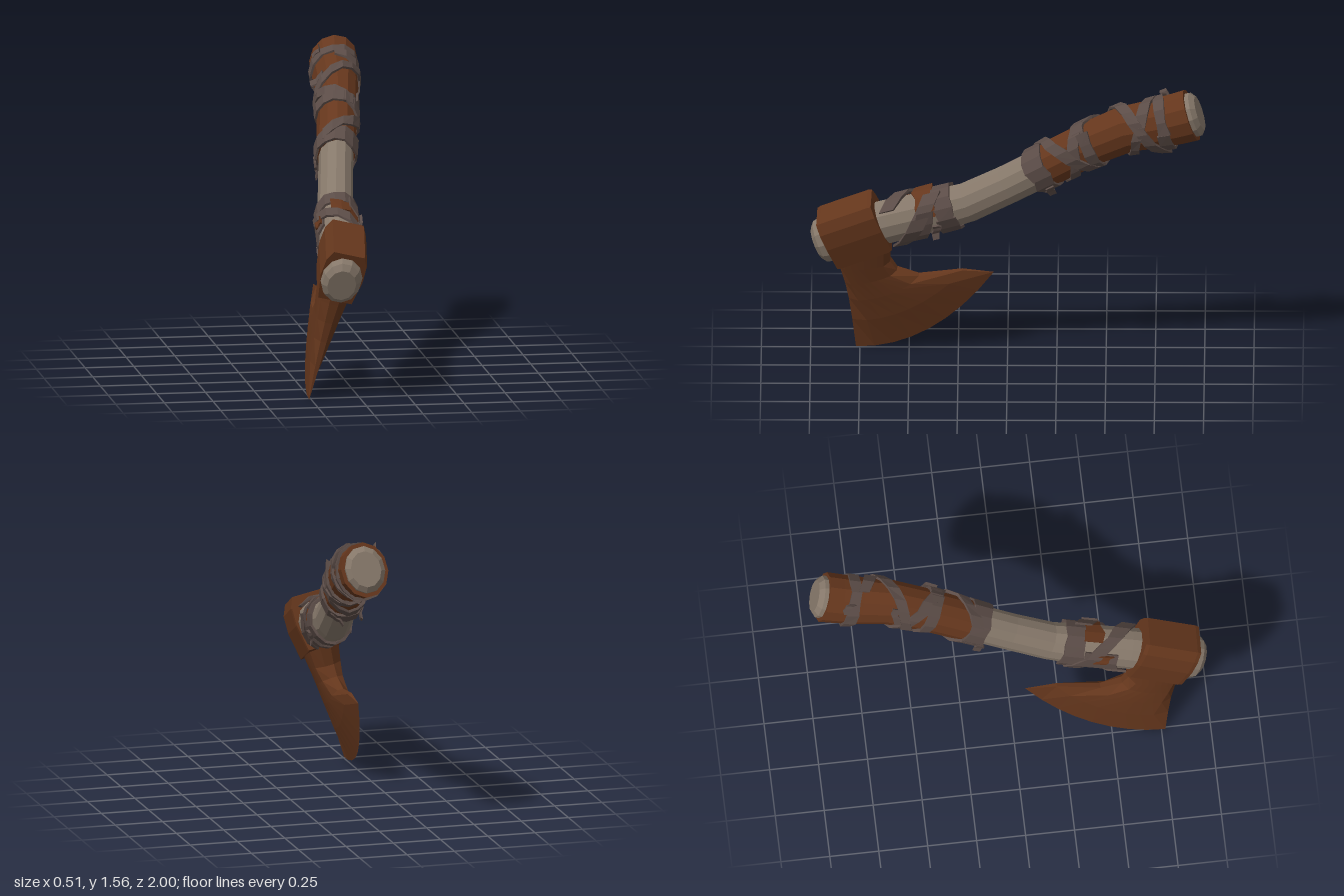
import * as THREE from 'three';

// Handle centre line and radius, from the head end to the grip end: z, y, radius
const SPINE = [
  [0.93, 0.635, 0.112], [0.75, 0.71, 0.112], [0.6, 0.757, 0.11], [0.3, 0.845, 0.105],
  [0.2, 0.878, 0.1], [0, 0.988, 0.097], [-0.2, 1.108, 0.098], [-0.4, 1.232, 0.1],
  [-0.6, 1.332, 0.107], [-0.8, 1.378, 0.117], [-0.95, 1.428, 0.122],
];

// The whole axe is authored upright in the y-z plane, then leaned over sideways
const LEAN = new THREE.Matrix4().set(
  0.974, 0.232, -0.036, -0.232,
  -0.226, 1, 0, 0,
  0.035, 0, 1, 0,
  0, 0, 0, 1);

let seed = 7;
const rand = () => (seed = (seed * 16807) % 2147483647) / 2147483647;

function spineAt(z) {
  let i = 0;
  while (i < SPINE.length - 2 && z < SPINE[i + 1][0]) i++;
  const [a, b] = [SPINE[i], SPINE[i + 1]];
  const t = (z - a[0]) / (b[0] - a[0]);
  return { y: a[1] + (b[1] - a[1]) * t, r: a[2] + (b[2] - a[2]) * t };
}

// Point around the handle at angle a, "extra" above its surface
function around(z, a, extra = 0, scale = 1) {
  const { y, r } = spineAt(z);
  const slope = (spineAt(z - 0.06).y - spineAt(z + 0.06).y) / 0.12;
  const len = Math.hypot(1, slope);
  const up = Math.sin(a) * (r * 1.06 * scale + extra);
  return new THREE.Vector3(Math.cos(a) * (r * 0.9 * scale + extra), y + up / len, z + up * slope / len);
}

// Faceted skin through closed cross-sections, capped at both ends
function loft(rings) {
  const pos = [];
  const tri = (...p) => p.forEach((v) => pos.push(v.x, v.y, v.z));
  const n = rings[0].length;
  for (let i = 0; i < rings.length - 1; i++) {
    for (let j = 0; j < n; j++) {
      const k = (j + 1) % n, [p, q] = [rings[i], rings[i + 1]];
      tri(p[j], q[j], q[k]);
      tri(p[j], q[k], p[k]);
    }
  }
  [rings[0], rings[rings.length - 1]].forEach((ring, end) => {
    const c = ring.reduce((s, v) => s.add(v), new THREE.Vector3()).divideScalar(n);
    for (let j = 0; j < n; j++) {
      const k = (j + 1) % n;
      if (end) tri(c, ring[k], ring[j]);
      else tri(c, ring[j], ring[k]);
    }
  });
  const g = new THREE.BufferGeometry();
  g.setAttribute('position', new THREE.Float32BufferAttribute(pos, 3));
  g.applyMatrix4(LEAN);
  g.computeVertexNormals();
  return g;
}

const circle = (z, sides, extra, scale) =>
  Array.from({ length: sides }, (_, j) => around(z, ((j + 0.5) / sides) * Math.PI * 2, extra, scale));

// Worn strip wound from z0 to z1 and from a0 to a1 (in turns)
function strap(z0, z1, a0, a1, width, lift, flare = 0) {
  const steps = Math.max(4, Math.round(Math.abs(a1 - a0) * 13));
  const rings = [];
  for (let i = 0; i <= steps; i++) {
    const t = i / steps;
    const a = (a0 + (a1 - a0) * t) * Math.PI * 2;
    const z = z0 + (z1 - z0) * t;
    const w = (width / 2) * (0.85 + rand() * 0.3);
    const out = lift + rand() * 0.005 + (i === steps ? flare : 0);
    const skew = (rand() - 0.5) * 0.015;
    rings.push([
      around(z + w + skew, a, out), around(z - w + skew, a, out + rand() * 0.005),
      around(z - w + skew, a, out - 0.012), around(z + w + skew, a, out - 0.012),
    ]);
  }
  return loft(rings);
}

export function createModel() {
  const axe = new THREE.Group();
  axe.name = 'axe';
  const material = (name, color, side = THREE.FrontSide) => {
    const m = new THREE.MeshStandardMaterial({ color, side });
    m.name = name;
    return m;
  };
  const wood = material('weathered wood', 0x86786a);
  const iron = material('rusty iron', 0x64361c);
  const leather = material('brown leather', 0x66371d, THREE.DoubleSide);
  const cloth = material('grey brown strap', 0x5b4c47, THREE.DoubleSide);
  const add = (name, geometry, mat) => {
    const mesh = new THREE.Mesh(geometry, mat);
    mesh.name = name;
    axe.add(mesh);
  };

  // Handle with rounded-off ends
  add('handle', loft([
    circle(0.967, 12, 0, 0.72), circle(0.945, 12, 0, 0.97), circle(0.915, 12, 0, 1.04),
    ...SPINE.slice(1, -1).map(([z]) => circle(z, 12, 0, 1)),
    circle(-0.955, 12, 0, 0.92), circle(-0.977, 12, 0, 0.7),
  ]), wood);

  // Leather grip sleeve
  add('gripSleeve', loft([-0.15, -0.3, -0.45, -0.6, -0.75, -0.86, -0.935].map((z) => circle(z, 12, 0.011, 1))), leather);

  // Socket: a block with bevelled shoulders, set along the handle
  const section = [[0.113, 0], [0.11, 0.09], [0.085, 0.145], [-0.08, 0.145],
    [-0.106, 0.09], [-0.113, 0], [-0.09, -0.14], [0.09, -0.14]];
  add('headSocket', loft([-0.15, -0.13, 0.13, 0.15].map((s) => section.map(([x, h]) => {
    const k = Math.abs(s) > 0.14 ? 0.97 : 1;
    return new THREE.Vector3(x * k, 0.705 + 0.922 * h * k + 0.387 * s, 0.775 + 0.387 * h * k - 0.922 * s);
  }))), iron);

  // Blade rows from socket to cutting edge: front z, y, back z, y, bulge z, y, half thickness
  const rows = [
    [0.88, 0.59, 0.59, 0.66, 0, 0, 0.095],
    [0.853, 0.5, 0.595, 0.53, 0, 0, 0.078],
    [0.825, 0.4, 0.56, 0.475, 0, -0.01, 0.063],
    [0.805, 0.3, 0.45, 0.438, -0.01, -0.03, 0.051],
    [0.788, 0.17, 0.23, 0.472, -0.01, -0.07, 0.034],
    [0.77, 0, 0.07, 0.46, -0.02, -0.115, 0.003],
  ];
  const cols = 8;
  add('blade', loft(rows.map(([fz, fy, bz, by, dz, dy, thick]) => {
    const at = (t, side) => {
      const bow = 4 * t * (1 - t);
      const edge = t === 0 || t === 1 ? 0.3 : 0.75 + 0.25 * bow;
      return new THREE.Vector3(side * thick * edge, fy + (by - fy) * t + dy * bow, fz + (bz - fz) * t + dz * bow);
    };
    const ring = [];
    for (let i = 0; i <= cols; i++) ring.push(at(i / cols, 1));
    for (let i = cols; i >= 0; i--) ring.push(at(i / cols, -1));
    return ring;
  })), iron);

  // Straps just behind the head
  add('headCuff', strap(0.31, 0.31, 0, 1, 0.09, 0.013), cloth);
  add('headSideWrap', strap(0.45, 0.45, 0.42, 0.72, 0.17, 0.011), cloth);
  add('headCuffPatch', strap(0.4, 0.4, 0.04, 0.34, 0.09, 0.012, 0.01), leather);
  add('headCuffPatch', strap(0.47, 0.45, 0.43, 0.5, 0.06, 0.018), leather);
  add('headBinding', strap(0.59, 0.32, 0.14, 0.62, 0.08, 0.02), cloth);
  add('headBinding', strap(0.34, 0.57, 0.2, -0.18, 0.08, 0.019), cloth);
  add('headBinding', strap(0.55, 0.4, 0.6, 1.08, 0.09, 0.015, 0.015), cloth);

  // Straps around the grip
  add('gripCuff', strap(-0.175, -0.175, 0, 1, 0.085, 0.019), cloth);
  add('gripRing', strap(-0.41, -0.43, 0.1, 1.15, 0.05, 0.021, 0.015), cloth);
  add('gripRing', strap(-0.8, -0.8, 0, 1, 0.055, 0.02), cloth);
  add('gripBinding', strap(-0.2, -0.76, 0.55, 2.3, 0.055, 0.022), cloth);
  add('gripBinding', strap(-0.2, -0.78, 0.4, -1.2, 0.055, 0.024, 0.012), cloth);

  // Loose torn ends
  [[-0.13, 0.55, 0.66], [-0.18, 0.9, 0.8], [-0.6, 0.4, 0.48], [-0.84, 0.45, 0.38], [0.36, 0.98, 0.9]]
    .forEach(([z, a0, a1]) => add('tornEnd', strap(z, z + 0.02, a0, a1, 0.035, 0.022, 0.025), cloth));

  return axe;
}
